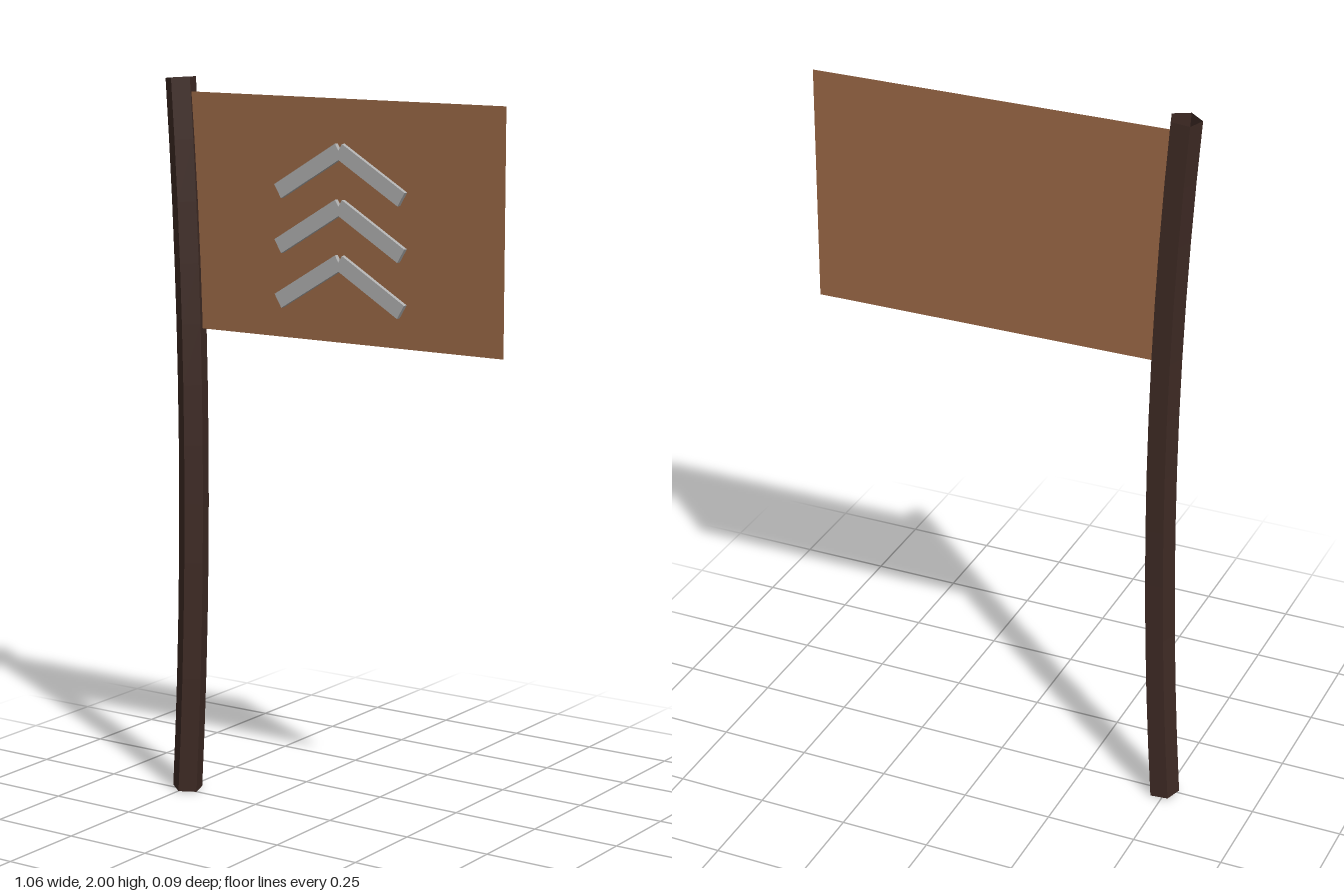
import * as THREE from 'three';

export function createModel() {
  const group = new THREE.Group();
  const mat = (name, color, extra = {}) => {
    const m = new THREE.MeshStandardMaterial({ color, ...extra });
    m.name = name;
    return m;
  };
  const darkWood = mat('dark wood', 0x3e2a24, { flatShading: true, side: THREE.DoubleSide });
  const cloth = mat('brown cloth', 0x9a6845, { side: THREE.DoubleSide });
  const metal = mat('light grey', 0xb0b0b0);

  const add = (name, geometry, material, parent = group) => {
    const mesh = new THREE.Mesh(geometry, material);
    mesh.name = name;
    parent.add(mesh);
    return mesh;
  };

  // Bowed, open five-sided pole: rings tilt to follow the curve
  const pole = new THREE.CylinderGeometry(0.043, 0.043, 2, 5, 12, true);
  const p = pole.attributes.position;
  for (let i = 0; i < p.count; i++) {
    const t = p.getY(i); // -1 at the foot, 1 at the tip
    const x = p.getX(i), z = p.getZ(i);
    p.setXYZ(
      i,
      x - 0.452 - 0.042 * t * t,
      1 + t * 0.9965 + x * 0.084 * t + z * 0.026 * t,
      z + 0.001 - 0.013 * t * t
    );
  }
  pole.computeVertexNormals();
  add('pole', pole, darkWood);

  // Flat banner, its inner edge hidden in the pole
  const banner = add('banner', new THREE.PlaneGeometry(0.99, 0.64), cloth);
  banner.position.set(0.035, 1.64, -0.004);

  // Three chevrons, each of two mirrored bars
  const length = 0.226, angle = 0.54;
  for (let row = 0; row < 3; row++) {
    const chevron = new THREE.Group();
    chevron.name = 'chevron' + (row + 1);
    chevron.position.set(0.033, 1.826 - row * 0.146, 0.003);
    for (const side of [-1, 1]) {
      const bar = add(side < 0 ? 'rightBar' : 'leftBar',
        new THREE.BoxGeometry(length, 0.042, 0.013), metal, chevron);
      bar.position.set(side * Math.cos(angle) * length / 2, -Math.sin(angle) * length / 2, 0);
      bar.rotation.z = -side * angle;
    }
    group.add(chevron);
  }

  return group;
}
